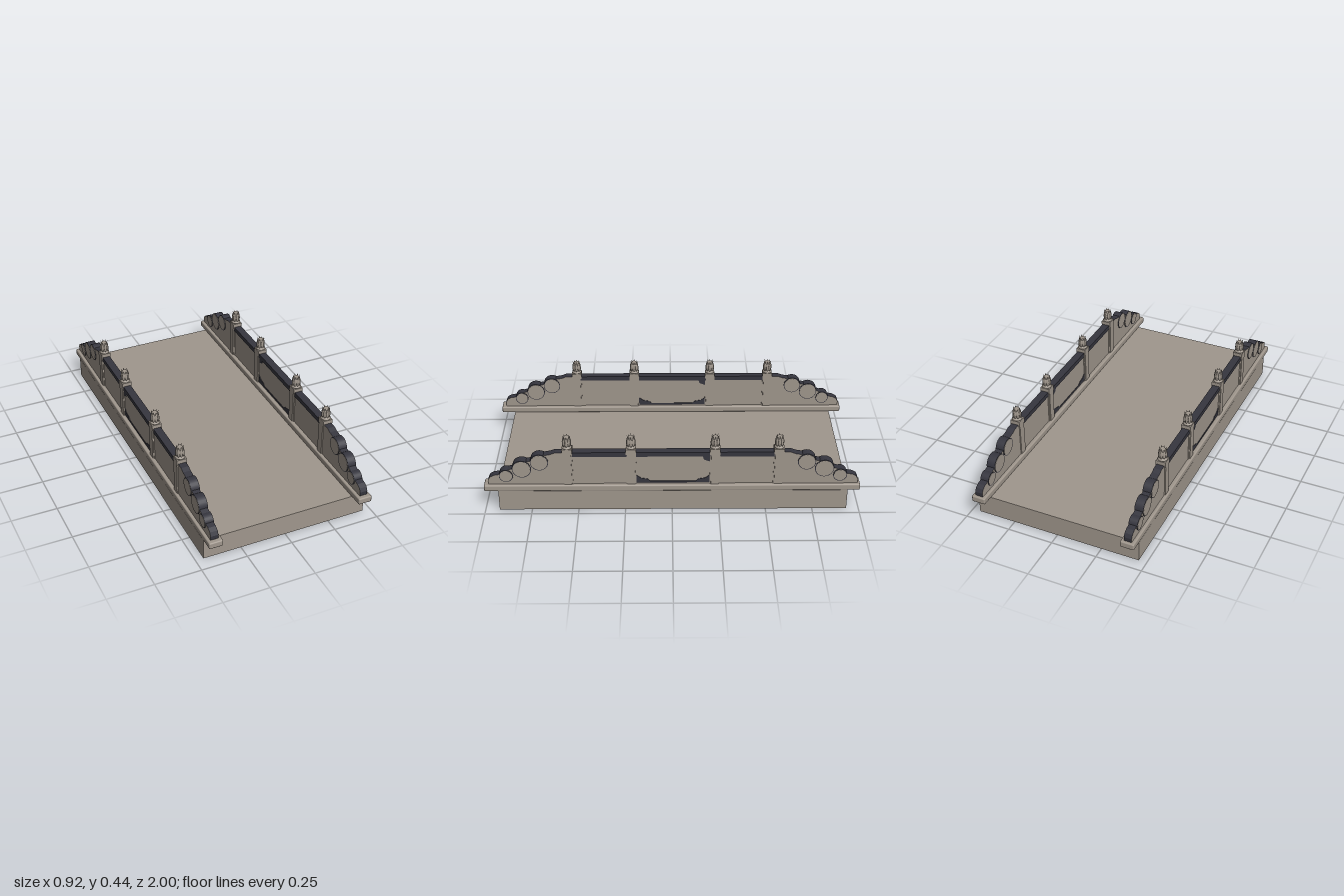
import * as THREE from 'three';
import { RoundedBoxGeometry } from 'three/addons/geometries/RoundedBoxGeometry.js';

const stone = new THREE.MeshStandardMaterial({ color: 0xa0978d });
stone.name = 'stone';
const dark = new THREE.MeshStandardMaterial({ color: 0x36363f });
dark.name = 'darkTrim';

const RAIL_X = 0.42;
const MID_Z = -0.005; // centre of deck and posts along z

function add(parent, name, geometry, material, x = 0, y = 0, z = 0) {
  const mesh = new THREE.Mesh(geometry, material);
  mesh.name = name;
  mesh.position.set(x, y, z);
  parent.add(mesh);
  return mesh;
}

// Extrudes a side profile given as [z, y], centred across x
function sideExtrude(points, width) {
  const shape = new THREE.Shape(points.map(([z, y]) => new THREE.Vector2(z, y)));
  return new THREE.ExtrudeGeometry(shape, { depth: width, bevelEnabled: false })
    .translate(0, 0, -width / 2).rotateY(-Math.PI / 2);
}

// Post with chamfered corners, cushion and lotus-bud finial
function makePost() {
  const post = new THREE.Group();
  post.name = 'post';
  const h = 0.027, c = 0.021;
  const plan = new THREE.Shape([[h, -c], [h, c], [c, c], [c, h], [-c, h], [-c, c], [-h, c], [-h, -c],
    [-c, -c], [-c, -h], [c, -h], [c, -c]].map(([x, y]) => new THREE.Vector2(x, y)));
  const shaft = new THREE.ExtrudeGeometry(plan, { depth: 0.185, bevelEnabled: false }).rotateX(-Math.PI / 2);
  add(post, 'postShaft', shaft, stone, 0, 0.15, 0);
  add(post, 'postCap', new THREE.BoxGeometry(0.054, 0.032, 0.054), stone, 0, 0.35, 0);

  const profile = [[0, 0.364], [0.025, 0.364], [0.027, 0.37], [0.025, 0.376], [0.018, 0.38], [0.019, 0.386],
    [0.022, 0.4], [0.02, 0.415], [0.015, 0.428], [0.012, 0.434], [0, 0.43]];
  const bud = new THREE.LatheGeometry(profile.map(([r, y]) => new THREE.Vector2(r, y)), 20);
  add(post, 'budCore', bud, stone);

  for (let i = 0; i < 8; i++) {
    const a = (i / 8) * Math.PI * 2;
    const petal = new THREE.Group();
    petal.name = 'petal';
    petal.rotation.y = a;
    const blade = new THREE.SphereGeometry(1, 8, 8).scale(0.006, 0.025, 0.0085);
    add(petal, 'petalBlade', blade, stone, 0.0185, 0.402, 0).rotation.z = 0.06;
    const tip = new THREE.ConeGeometry(0.006, 0.022, 6).scale(0.6, 1, 1);
    add(petal, 'petalTip', tip, stone, 0.0175, 0.429, 0).rotation.z = -0.35;
    post.add(petal);
  }
  return post;
}

// Stepped end scroll with three drum stones; s is +1 at the front, -1 at the back
function makeScroll(s) {
  const scroll = new THREE.Group();
  scroll.name = 'endScroll';
  const outline = [[0.57, 0.15], [0.57, 0.345], [0.62, 0.345], [0.645, 0.335], [0.70, 0.325], [0.75, 0.295],
    [0.80, 0.285], [0.845, 0.25], [0.88, 0.238], [0.92, 0.212], [0.95, 0.207], [0.972, 0.195],
    [0.982, 0.175], [0.98, 0.15]];
  add(scroll, 'scrollSlab', sideExtrude(outline.map(([z, y]) => [z * s, y]), 0.042), [stone, dark]);
  for (const [z, y, r] of [[0.705, 0.287, 0.048], [0.80, 0.246, 0.051], [0.885, 0.204, 0.037]]) {
    add(scroll, 'scrollDrum', new THREE.CylinderGeometry(r, r, 0.048, 28).rotateZ(Math.PI / 2), dark, 0, y, z * s);
    const face = new THREE.CylinderGeometry(r - 0.004, r - 0.004, 0.05, 28).rotateZ(Math.PI / 2);
    add(scroll, 'scrollDrumFace', face, stone, 0, y, z * s);
  }
  return scroll;
}

function makeBalustrade() {
  const side = new THREE.Group();
  side.name = 'balustrade';
  add(side, 'curb', new RoundedBoxGeometry(0.076, 0.036, 2, 3, 0.007), stone, 0, 0.134, 0);

  // Posts, then panels and rails between them
  const posts = [-0.557, -0.221, 0.221, 0.557];
  for (const z of posts) {
    const post = makePost();
    post.position.z = z + MID_Z;
    side.add(post);
  }
  for (let i = 0; i < 3; i++) {
    const length = posts[i + 1] - posts[i];
    const z = (posts[i] + posts[i + 1]) / 2 + MID_Z;
    add(side, 'panel', new THREE.BoxGeometry(0.034, 0.172, length), stone, 0, 0.236, z);
    add(side, 'handrail', new THREE.BoxGeometry(0.042, 0.026, length), dark, 0, 0.333, z);
  }

  // Dark border on the middle panel, showing on both faces
  const half = [[0.195, 0.158], [0.195, 0.205], [0.17, 0.186], [0.135, 0.18], [0.12, 0.167]];
  const border = [...half, ...half.map(([z, y]) => [-z, y]).reverse()];
  const corner = [[-0.195, 0.322], [-0.155, 0.322], [-0.162, 0.3], [-0.195, 0.288]];
  for (const x of [-0.018, 0.018]) {
    add(side, 'panelBorder', sideExtrude(border, 0.003), dark, x, 0, MID_Z);
    add(side, 'panelCorner', sideExtrude(corner, 0.003), dark, x, 0, MID_Z);
  }

  for (const s of [1, -1]) {
    const scroll = makeScroll(s);
    scroll.position.z = MID_Z;
    side.add(scroll);
  }
  return side;
}

export function createModel() {
  const bridge = new THREE.Group();
  bridge.name = 'stoneBridge';
  add(bridge, 'deck', new THREE.BoxGeometry(0.914, 0.118, 1.86), stone, 0, 0.059, MID_Z);
  for (const s of [1, -1]) {
    const side = makeBalustrade();
    side.name = s > 0 ? 'leftBalustrade' : 'rightBalustrade';
    side.position.x = s * RAIL_X;
    bridge.add(side);
  }
  return bridge;
}
